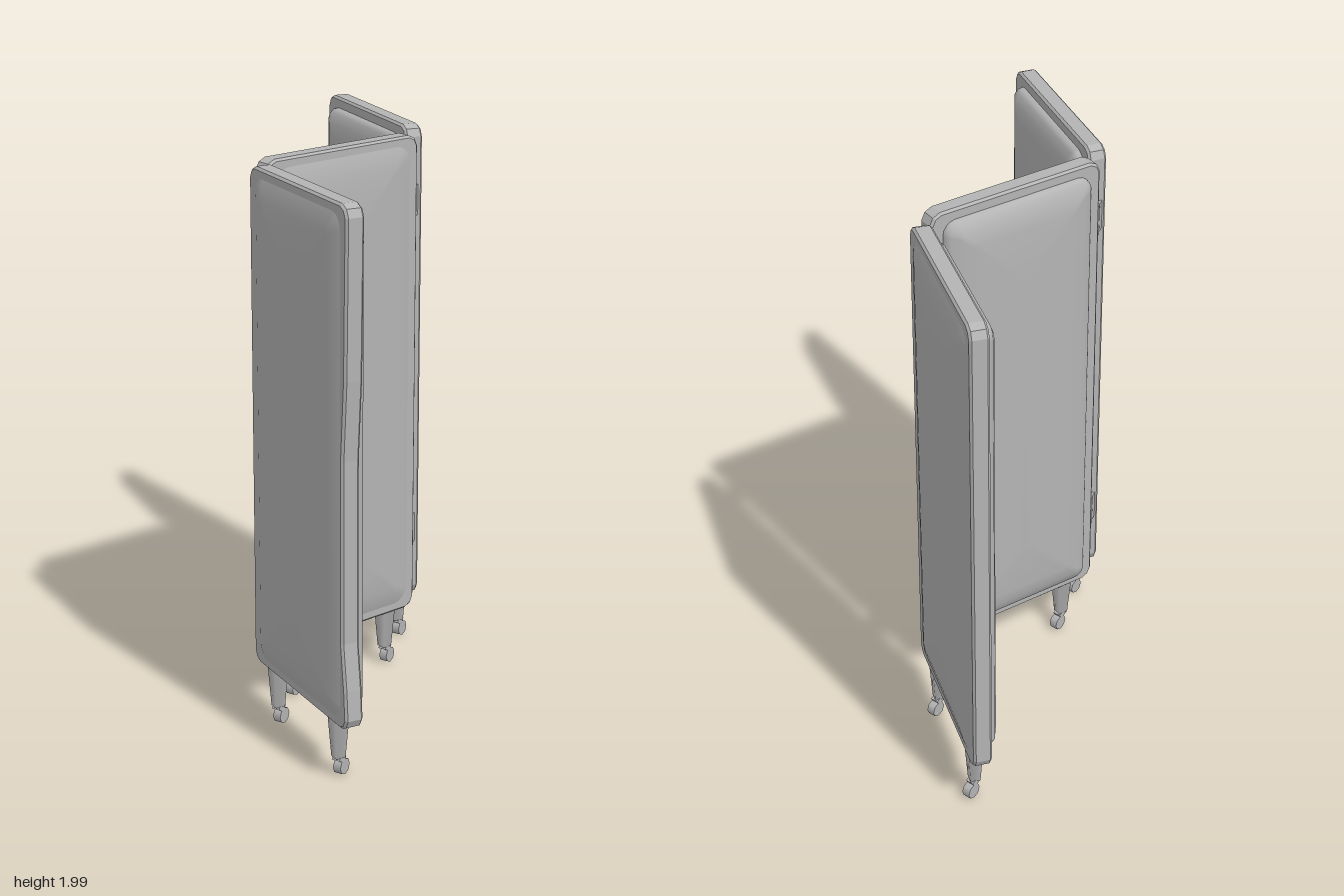
import * as THREE from 'three';

const grey = new THREE.MeshStandardMaterial({ color: 0xb4b4b4 });
grey.name = 'plain grey';

const HALF_W = 0.34, BOTTOM = 0.215, FRAME_DEPTH = 0.066;

function add(parent, geometry, name, x = 0, y = 0, z = 0) {
  const mesh = new THREE.Mesh(geometry, grey);
  mesh.name = name;
  mesh.position.set(x, y, z);
  parent.add(mesh);
  return mesh;
}

// Chamfered frame slab; dents are [y, inset] points along the +x edge
function frameGeometry(top, dents) {
  const w = HALF_W, b = BOTTOM, c = 0.04, k = 0.013;
  const points = [
    [-w + c, b], [w - c, b], [w - k, b + k], [w, b + c],
    ...dents.map(([y, inset]) => [w - inset, y]),
    [w, top - c], [w - k, top - k], [w - c, top],
    [-w + c, top], [-w + k, top - k], [-w, top - c], [-w, b + c], [-w + k, b + k],
  ].map(([x, y]) => new THREE.Vector2(x, y));
  const bevel = 0.008;
  return new THREE.ExtrudeGeometry(new THREE.Shape(points), {
    depth: FRAME_DEPTH - 2 * bevel, bevelThickness: bevel, bevelSize: bevel,
    bevelOffset: -bevel, bevelSegments: 1,
  }).translate(0, 0, -FRAME_DEPTH / 2 + bevel);
}

// Smooth padded face: nested rounded rectangles, each ring given as [inset, height]
function padGeometry(halfW, halfH, radius, rings) {
  const position = [], index = [], steps = 5, count = 4 * steps;
  for (const [inset, z] of rings) {
    const r = Math.max(radius - inset, 0.012);
    for (let q = 0; q < 4; q++) {
      const sx = q === 0 || q === 3 ? 1 : -1, sy = q < 2 ? 1 : -1;
      for (let s = 0; s < steps; s++) {
        const a = (q + s / (steps - 1)) * Math.PI / 2;
        position.push(sx * (halfW - inset - r) + r * Math.cos(a),
          sy * (halfH - inset - r) + r * Math.sin(a), z);
      }
    }
  }
  for (let k = 0; k < rings.length - 1; k++) {
    for (let i = 0; i < count; i++) {
      const a = k * count + i, b = k * count + (i + 1) % count;
      index.push(a, b, b + count, a, b + count, a + count);
    }
  }
  const last = (rings.length - 1) * count, centre = rings.length * count;
  position.push(0, 0, rings[rings.length - 1][1]);
  for (let i = 0; i < count; i++) index.push(last + i, last + (i + 1) % count, centre);
  const geometry = new THREE.BufferGeometry();
  geometry.setAttribute('position', new THREE.Float32BufferAttribute(position, 3));
  geometry.setIndex(index);
  geometry.computeVertexNormals();
  return geometry;
}

// Tapered leg with a small swivelling wheel; yaw keeps all wheels trailing the same way
function makeLeg(yaw) {
  const leg = new THREE.Group();
  leg.name = 'leg';
  const post = new THREE.CylinderGeometry(0.039, 0.025, 0.16, 4).rotateY(Math.PI / 4);
  add(leg, post.toNonIndexed(), 'legPost', 0, 0.155, 0);
  const caster = new THREE.Group();
  caster.name = 'caster';
  caster.rotation.y = yaw;
  add(caster, new THREE.BoxGeometry(0.034, 0.026, 0.03), 'casterFork', 0.004, 0.07, 0).rotation.z = -0.5;
  const wheel = new THREE.CylinderGeometry(0.029, 0.029, 0.03, 8).rotateX(Math.PI / 2);
  add(caster, wheel, 'casterWheel', 0.018, 0.035, 0);
  leg.add(caster);
  return leg;
}

function makePanel({ name, x, z, angle, top, dents = [] }) {
  const panel = new THREE.Group();
  panel.name = name;
  panel.position.set(x, 0, z);
  panel.rotation.y = angle;
  const middle = (top + BOTTOM) / 2, halfH = (top - BOTTOM) / 2;
  add(panel, frameGeometry(top, dents), 'frame');
  // Shallow bulge on the outer face
  const bulge = padGeometry(0.302, halfH - 0.03, 0.06,
    [[0, 0], [0.025, 0.008], [0.07, 0.017], [0.15, 0.022], [0.27, 0.025]]);
  add(panel, bulge, 'frontBulge', 0, middle, FRAME_DEPTH / 2 - 0.001);
  // Thick cushion on the inner face
  const cushion = padGeometry(0.295, halfH - 0.038, 0.05,
    [[0, 0], [0.003, 0.015], [0.014, 0.028], [0.05, 0.042], [0.1, 0.051], [0.27, 0.055]]);
  add(panel, cushion, 'backCushion', 0, middle, -FRAME_DEPTH / 2 + 0.001).rotation.y = Math.PI;
  for (const side of [-1, 1]) {
    const leg = makeLeg(0.6 - angle);
    leg.position.x = side * 0.225;
    panel.add(leg);
  }
  return panel;
}

export function createModel() {
  const screen = new THREE.Group();
  screen.name = 'foldingScreen';
  screen.add(
    makePanel({ name: 'leftPanel', x: 0.338, z: -0.5, angle: 1.585, top: 2 }),
    makePanel({ name: 'middlePanel', x: -0.018, z: 0.003, angle: 0.307, top: 1.99 }),
    makePanel({
      name: 'rightPanel', x: -0.338, z: 0.491, angle: -1.483, top: 1.99,
      dents: [[0.36, 0.008], [0.52, 0.03], [1.15, 0.03], [1.42, 0.01]],
    }),
  );
  // Hinges: a slanted leaf and pin at two heights in each gap
  for (const [x, z, angle] of [[0.327, -0.133, 0.9], [-0.355, 0.123, 0.95]]) {
    for (const y of [0.49, 1.735]) {
      add(screen, new THREE.BoxGeometry(0.085, 0.11, 0.016), 'hingeLeaf', x, y, z).rotation.y = angle;
      add(screen, new THREE.CylinderGeometry(0.013, 0.013, 0.115, 8), 'hingePin', x, y, z);
    }
  }
  return screen;
}
